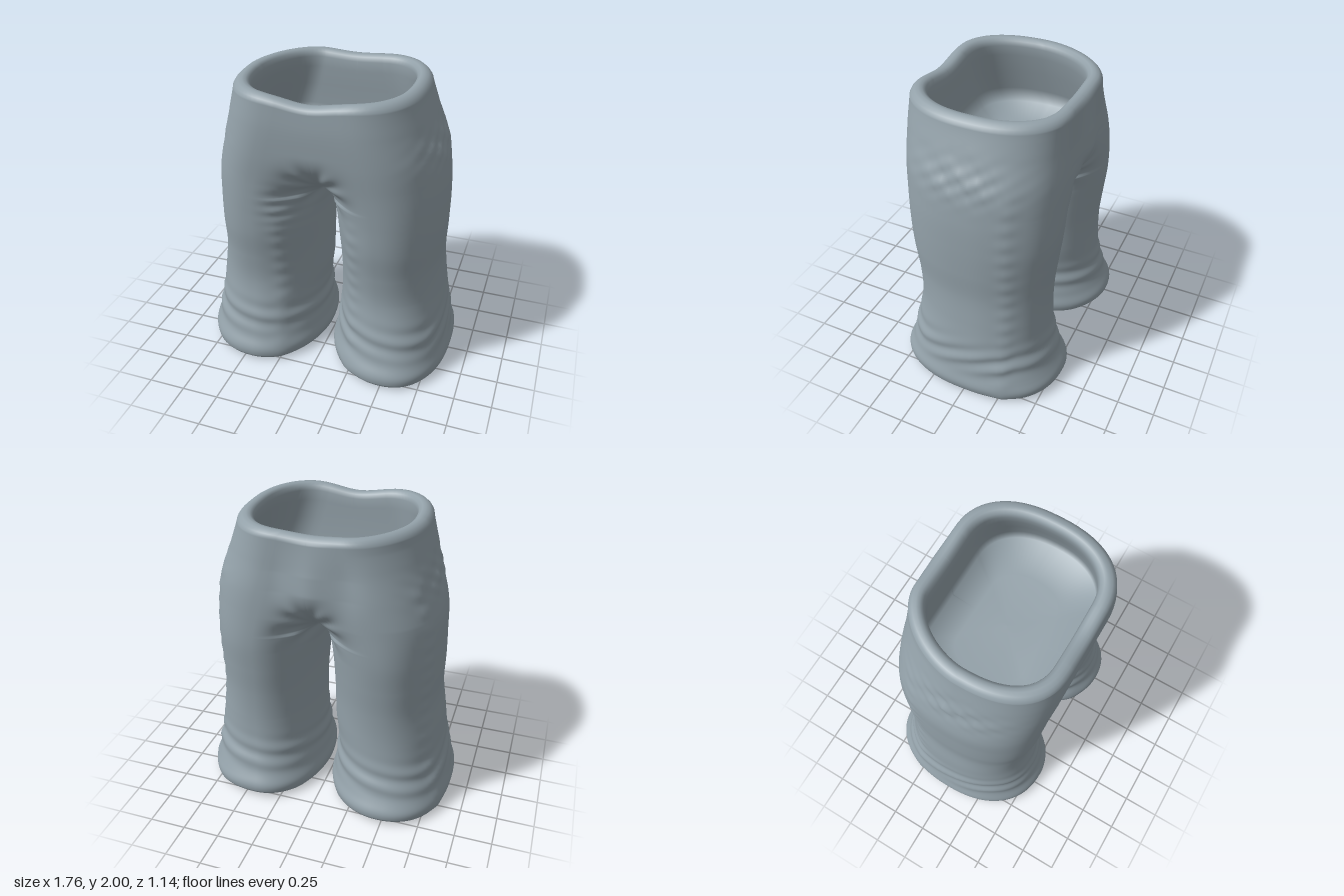
import * as THREE from 'three';
import { mergeVertices } from 'three/addons/utils/BufferGeometryUtils.js';

const SEAM = 0.02, CROTCH = 1.28, COLS = 72;

// Silhouette values at heights 0, 0.2, ... 2.0
const FRONT = [0.56, 0.525, 0.485, 0.455, 0.47, 0.5, 0.515, 0.53, 0.55, 0.56, 0.555];
const BACK = [-0.555, -0.515, -0.47, -0.455, -0.46, -0.48, -0.5, -0.505, -0.505, -0.49, -0.48];
const MIDDLE = [0.45, 0.45, 0.44, 0.43, 0.42, 0.41, 0.4, 0.36, 0.3, 0.24, 0.2];
// lean shifts the front and back crest of a hem sideways;
// corners give the roundness of the outer corners at hem, leg and waist (1 is round, less is boxier)
const SIDES = {
  left: {
    sign: 1, lean: 0.04,
    frontCorners: [0.86, 0.9, 0.87], backCorners: [0.82, 0.9, 0.85],
    outer: [0.85, 0.845, 0.82, 0.79, 0.77, 0.775, 0.775, 0.765, 0.735, 0.66, 0.595],
    inner: [0.05, 0.06, 0.08, 0.085, 0.08, 0.065, 0.045, 0.03, 0.02, 0.02, 0.02],
  },
  right: {
    sign: -1, lean: -0.02,
    frontCorners: [0.88, 0.87, 0.83], backCorners: [0.88, 0.91, 1.12],
    outer: [0.86, 0.85, 0.81, 0.785, 0.755, 0.755, 0.75, 0.74, 0.69, 0.635, 0.59],
    inner: [0.04, 0.04, 0.055, 0.035, 0.03, 0.02, 0.005, -0.01, -0.02, -0.02, -0.02],
  },
};

const clamp01 = v => Math.min(1, Math.max(0, v));
const bell = (v, centre, width) => Math.exp(-(((v - centre) / width) ** 2));

// Smooth lookup in a table with 0.2 spacing
function sample(table, y) {
  const t = Math.min(9.9999, Math.max(0, y * 5)), i = Math.floor(t), f = t - i;
  const at = k => table[Math.min(10, Math.max(0, k))];
  const m0 = (at(i + 1) - at(i - 1)) / 2, m1 = (at(i + 2) - at(i)) / 2;
  return at(i) * (2 * f ** 3 - 3 * f ** 2 + 1) + m0 * (f ** 3 - 2 * f ** 2 + f)
    + at(i + 1) * (3 * f ** 2 - 2 * f ** 3) + m1 * (f ** 3 - f ** 2);
}

// Cloth relief: hem roll, stacked folds, seams, crotch creases, worn hips
function relief(x, y, z) {
  const ax = Math.abs(x);
  let r = 0.025 * bell(y, 0.08, 0.07);
  const slant = 0.14 * x * Math.max(-1, Math.min(1, z * 3)) + 0.05 * z;
  r += 0.007 * Math.sin((y + slant) * 46) * bell(y, 0.31, 0.11);
  const stitch = 0.7 + 0.3 * Math.sin(y * 55);
  const legOnly = clamp01((1.3 - y) * 5);
  if (z > 0.15) {
    r += 0.007 * bell(ax, 0.25, 0.045) * stitch * legOnly;
    r += 0.005 * Math.sin(y * 75) * bell(x, -0.22, 0.09) * bell(y, 1.2, 0.13);
  }
  if (ax > 0.4) r += 0.007 * bell(z, -0.27, 0.045) * stitch * clamp01((1.8 - y) * 4);
  // Raised centre back with a hollow either side
  if (z < 0) {
    const seat = clamp01((y - 1.42) * 5) * clamp01((2 - y) * 4);
    r += seat * (0.02 * bell(ax, 0, 0.1) - 0.013 * bell(ax, 0.22, 0.09));
  }
  const dx = x - SEAM, dy = y - 1.36;
  r += 0.01 * Math.sin(Math.atan2(dy, Math.abs(dx) + 0.02) * 9)
    * bell(Math.hypot(dx, dy), 0.13, 0.08) * clamp01(Math.abs(dx) * 12);
  if (ax > 0.5) {
    r += 0.013 * Math.sin(y * 47 + z * 9) * Math.sin(z * 31 + y * 13 + x)
      * bell(y, 1.65, 0.11) * bell(z, 0.03, 0.24);
  }
  return r;
}

// One point of a half section; a runs from front centre, around the outside, to back centre
function sectionPoint(side, y, a, inset, opened) {
  const sine = Math.sin(a), s = Math.abs(sine), c = Math.cos(a);
  const middle = sample(MIDDLE, y) + side.lean * sine * clamp01((0.6 - y) * 2);
  const outer = sample(side.outer, y) - inset;
  const front = sample(FRONT, y) - inset, back = sample(BACK, y) + inset;
  const centre = (front + back) / 2;
  const seam = side.sign * SEAM;
  let inner = seam;
  if (y < CROTCH && !opened) {
    inner += (sample(side.inner, y) - seam) * Math.sqrt(clamp01((CROTCH - y) / 0.12)) + inset;
  }
  // The legs join progressively above the crotch
  const k = opened ? 1 : clamp01((y - CROTCH) / 0.36);
  const join = Math.sqrt(1 - (1 - k) ** 2);
  const edge = sine >= 0 ? front : back;
  if (c > 0) {
    const end = centre + (edge - centre) * join;
    return [middle - (middle - inner) * c, end + (edge - end) * s ** (1 + 2 * join)];
  }
  const [hem, leg, waist] = sine >= 0 ? side.frontCorners : side.backCorners;
  const power = leg + (hem - leg) * clamp01((0.4 - y) * 4) + (waist - leg) * clamp01((y - 1.45) * 2.2);
  return [middle + (outer - middle) * (-c) ** power, centre + (edge - centre) * s ** power];
}

// Rows from the waist lining, over the rim, down the outside, around the hem and up the leg
function makeRows() {
  const rows = [
    { y: 1.45, inset: 0.1, lining: true, waist: true, collapse: 1 },
    { y: 1.45, inset: 0.13, lining: true, waist: true, collapse: 0.4 },
    { y: 1.48, inset: 0.11, lining: true, waist: true },
    { y: 1.6, inset: 0.11, lining: true, waist: true },
    { y: 1.75, inset: 0.11, lining: true, waist: true },
    { y: 1.88, inset: 0.11, lining: true, waist: true },
    { y: 1.95, inset: 0.105, lining: true, waist: true },
    { y: 1.982, inset: 0.092, lining: true, waist: true },
    { y: 1.997, inset: 0.07, lining: true, waist: true },
    { y: 2, inset: 0.048, lining: true, waist: true },
    { y: 1.994, inset: 0.024, lining: true, waist: true },
    { y: 1.978, inset: 0.008, lining: true, waist: true },
  ];
  for (let i = 0; i <= 193; i++) rows.push({ y: 1.96 - i * 0.01, inset: 0 });
  rows.push(
    { y: 0.018, inset: 0.006 }, { y: 0.006, inset: 0.02 }, { y: 0, inset: 0.052 },
    { y: 0.008, inset: 0.08, lining: true }, { y: 0.035, inset: 0.1, lining: true },
    { y: 0.1, inset: 0.12, lining: true }, { y: 0.25, inset: 0.13, lining: true },
    { y: 0.5, inset: 0.11, lining: true }, { y: 0.8, inset: 0.1, lining: true },
    { y: 1.05, inset: 0.1, lining: true }, { y: 1.15, inset: 0.12, lining: true, collapse: 0.4 },
    { y: 1.18, inset: 0.12, lining: true, collapse: 1 },
  );
  return rows;
}

function createTrouserGeometry() {
  const rows = makeRows(), positions = [], index = [];
  for (const side of Object.values(SIDES)) {
    const base = positions.length / 3;
    for (const { y, inset, lining, waist, collapse = 0 } of rows) {
      for (let j = 0; j <= COLS; j++) {
        const a = (j / COLS) * Math.PI * 2;
        let [x, z] = sectionPoint(side, y, a, inset, waist);
        if (!lining) {
          const bump = relief(side.sign * x, y, z);
          [x, z] = sectionPoint(side, y, a, inset - bump, waist);
        }
        // Close the end of each lining
        x += ((waist ? side.sign * SEAM : sample(MIDDLE, y)) - x) * collapse;
        z -= z * collapse;
        // Waistband sags at the middle, most at the front; the hem lifts a little behind
        const wx = side.sign * x;
        const sag = (z > 0 ? 0.045 : 0.018) * bell(wx, 0, 0.2) * clamp01((y - 1.7) / 0.3);
        const lift = 0.025 * clamp01((-z - 0.4) / 0.18) * clamp01((0.2 - y) / 0.2);
        positions.push(wx, y - sag + lift, z);
      }
    }
    const w = COLS + 1;
    for (let i = 0; i < rows.length - 1; i++) {
      for (let j = 0; j < COLS; j++) {
        const p = base + i * w + j, q = p + w;
        if (side.sign > 0) index.push(p, q, p + 1, p + 1, q, q + 1);
        else index.push(p, p + 1, q, p + 1, q + 1, q);
      }
    }
  }
  let geometry = new THREE.BufferGeometry();
  geometry.setAttribute('position', new THREE.Float32BufferAttribute(positions, 3));
  geometry.setIndex(index);
  geometry = mergeVertices(geometry, 1e-4);
  geometry.computeVertexNormals();
  return geometry;
}

export function createModel() {
  const cloth = new THREE.MeshStandardMaterial({ color: 0x93a1a9 });
  cloth.name = 'greyBlueCloth';
  const trousers = new THREE.Mesh(createTrouserGeometry(), cloth);
  trousers.name = 'trousers';
  const group = new THREE.Group();
  group.name = 'flaredTrousers';
  group.add(trousers);
  return group;
}
